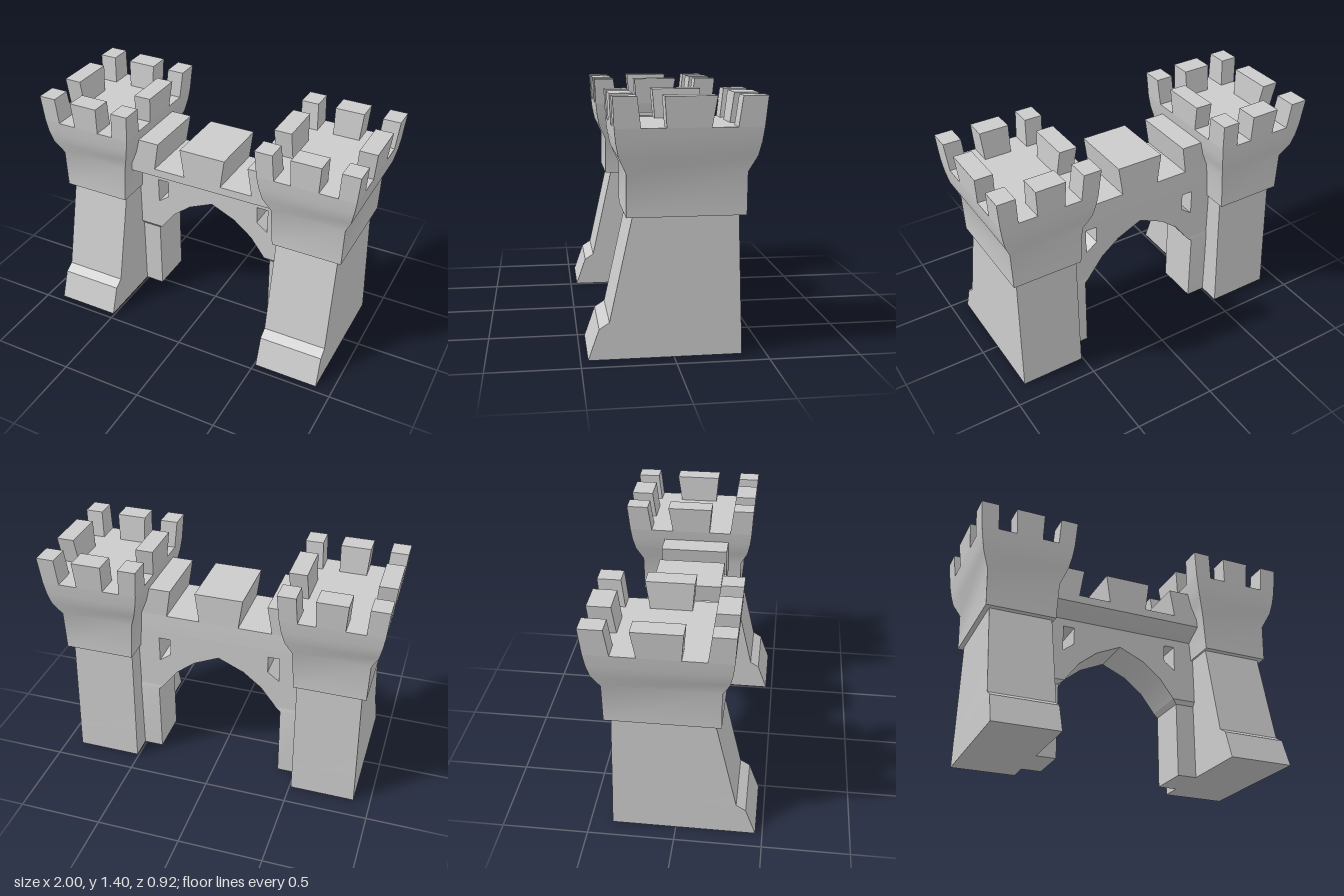
import * as THREE from 'three';
import { toCreasedNormals } from 'three/addons/utils/BufferGeometryUtils.js';

const material = new THREE.MeshStandardMaterial({ color: 0xcccccc });

function addMesh(parent, name, geometry) {
  const mesh = new THREE.Mesh(toCreasedNormals(geometry, 0.5), material);
  mesh.name = name;
  parent.add(mesh);
}

// Closed solid through stacked rectangles [y, x0, x1, z0, z1]; side = -1 mirrors it in x
function stack(rings, side = 1) {
  const pos = [];
  const idx = [];
  for (const [y, a, b, z0, z1] of rings) {
    const x0 = Math.min(a * side, b * side);
    const x1 = Math.max(a * side, b * side);
    pos.push(x0, y, z1, x1, y, z1, x1, y, z0, x0, y, z0);
  }
  const quad = (a, b, c, d) => idx.push(a, b, c, a, c, d);
  for (let r = 0; r < rings.length - 1; r++) {
    for (let i = 0; i < 4; i++) {
      const j = (i + 1) % 4;
      quad(r * 4 + i, r * 4 + j, r * 4 + 4 + j, r * 4 + 4 + i);
    }
  }
  const t = (rings.length - 1) * 4;
  quad(3, 2, 1, 0);
  quad(t, t + 1, t + 2, t + 3);
  const g = new THREE.BufferGeometry();
  g.setAttribute('position', new THREE.Float32BufferAttribute(pos, 3));
  g.setIndex(idx);
  return g;
}

const outline = (points) => points.map(([x, y]) => new THREE.Vector2(x, y));

function createTower(side) {
  const tower = new THREE.Group();
  tower.name = side > 0 ? 'leftTower' : 'rightTower';

  // Shaft with a sloping buttress at the front
  addMesh(tower, 'shaft', stack([
    [0, 0.51, 0.90, -0.37, 0.46],
    [0.17, 0.51, 0.897, -0.365, 0.40],
    [0.205, 0.51, 0.896, -0.363, 0.345],
    [0.77, 0.508, 0.885, -0.345, 0.22],
  ], side));

  // Flared head
  addMesh(tower, 'head', stack([
    [0.77, 0.495, 0.914, -0.38, 0.255],
    [1.0, 0.48, 0.92, -0.38, 0.255],
    [1.09, 0.443, 0.96, -0.422, 0.297],
    [1.165, 0.425, 0.976, -0.438, 0.312],
    [1.24, 0.413, 0.987, -0.447, 0.32],
  ], side));

  // Battlements: corner and middle blocks, each [bottom from, to, top from, to]
  const xs = [[0.413, 0.515, 0.40, 0.505], [0.615, 0.775, 0.61, 0.785], [0.885, 0.987, 0.895, 1.0]];
  const zs = [[-0.447, -0.31, -0.46, -0.33], [-0.175, 0.055, -0.20, 0.068], [0.185, 0.32, 0.205, 0.328]];
  xs.forEach((x, i) => zs.forEach((z, j) => {
    if (i === 1 && j === 1) return;
    addMesh(tower, 'battlement', stack([
      [1.24, x[0], x[1], z[0], z[1]],
      [1.4, x[2], x[3], z[2], z[3]],
    ], side));
  }));

  // Arch pier beside the tower, widening into the arch at its top
  addMesh(tower, 'archPier', stack([
    [0, 0.39, 0.54, -0.235, 0.03],
    [0.46, 0.39, 0.54, -0.235, 0.03],
    [0.485, 0.36, 0.54, -0.23, 0.05],
  ], side));
  return tower;
}

function createBridge() {
  const bridge = new THREE.Group();
  bridge.name = 'gateBridge';

  // Arched wall with two window slits
  const half = [[0.36, 0.485], [0.35, 0.5], [0.267, 0.61], [0.155, 0.70]];
  const wall = new THREE.Shape(outline([
    [-0.54, 0.89], [-0.54, 0.485],
    ...half.map(([x, y]) => [-x, y]), [0, 0.77], ...half.slice().reverse(),
    [0.54, 0.485], [0.54, 0.89],
  ]));
  for (const s of [-1, 1]) {
    wall.holes.push(new THREE.Path(outline(
      [[0.375, 0.68], [0.375, 0.84], [0.305, 0.84], [0.305, 0.733]].map(([x, y]) => [x * s, y]))));
  }
  const wallGeometry = new THREE.ExtrudeGeometry(wall, { depth: 0.28, bevelEnabled: false });
  wallGeometry.translate(0, 0, -0.23);
  addMesh(bridge, 'archWall', wallGeometry);

  // Walkway overhanging the wall at the front
  addMesh(bridge, 'walkway', stack([
    [0.89, -0.5, 0.5, -0.23, 0.05],
    [0.95, -0.5, 0.5, -0.228, 0.175],
    [1.0, -0.5, 0.5, -0.225, 0.175],
  ]));

  // Full-depth battlements
  addMesh(bridge, 'middleBattlement', stack([
    [1.0, -0.12, 0.12, -0.225, 0.175],
    [1.18, -0.145, 0.145, -0.22, 0.175],
  ]));
  for (const s of [-1, 1]) {
    addMesh(bridge, 'sideBattlement', stack([
      [1.0, 0.322, 0.50, -0.225, 0.175],
      [1.175, 0.293, 0.45, -0.23, 0.175],
    ], s));
  }
  return bridge;
}

export function createModel() {
  const model = new THREE.Group();
  model.name = 'castleGate';
  model.add(createTower(1), createTower(-1), createBridge());
  return model;
}
